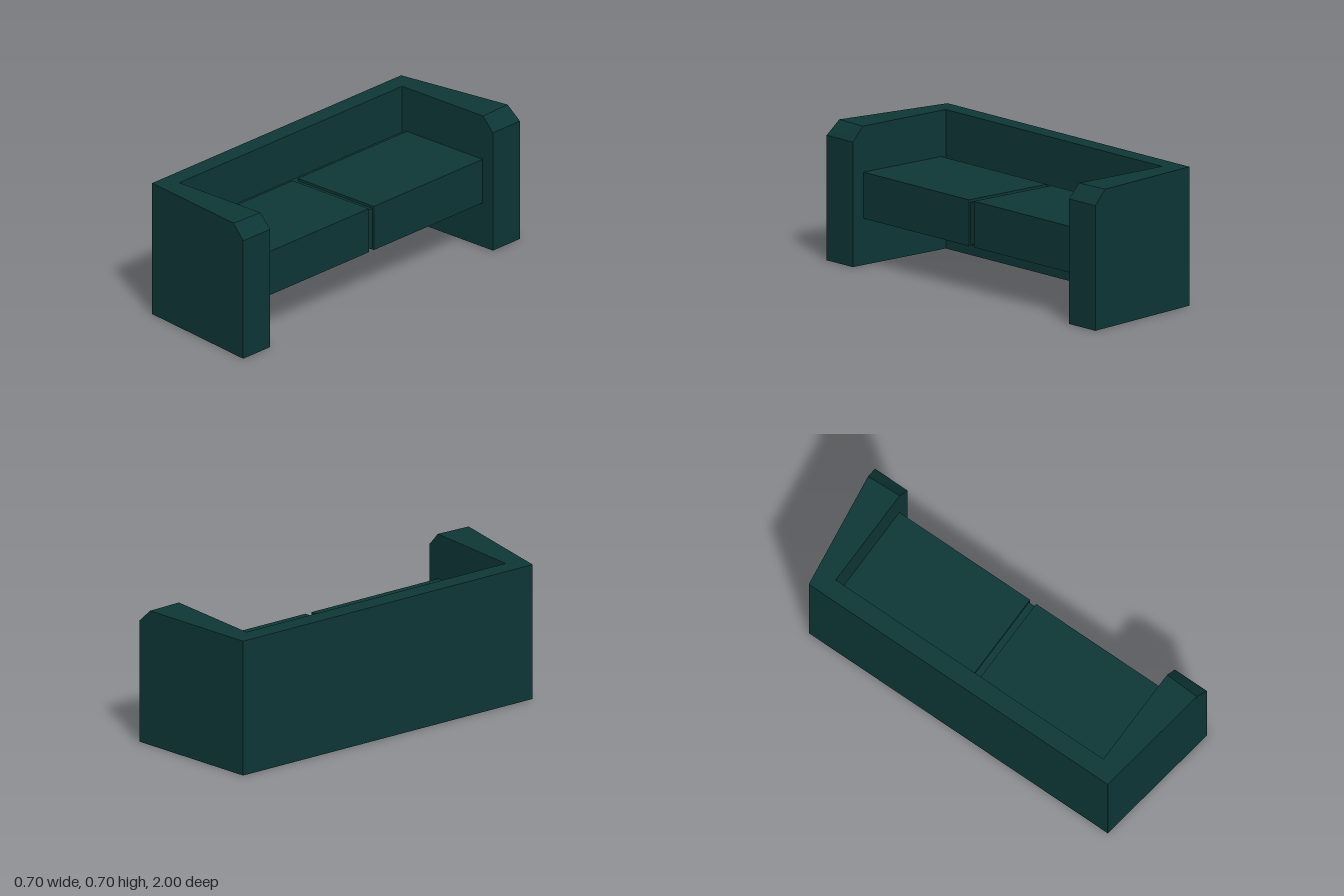
import * as THREE from 'three';

const INNER = 0.805; // half width between the arms

export function createModel() {
  const group = new THREE.Group();
  group.name = 'sofa';
  const fabric = new THREE.MeshStandardMaterial({ color: 0x0e3636 });
  fabric.name = 'dark teal fabric';

  const add = (name, geometry) => {
    const mesh = new THREE.Mesh(geometry, fabric);
    mesh.name = name;
    group.add(mesh);
    return mesh;
  };

  // Box given by its lower and upper corners
  const addBox = (name, [x0, y0, z0], [x1, y1, z1]) =>
    add(name, new THREE.BoxGeometry(x1 - x0, y1 - y0, z1 - z0))
      .position.set((x0 + x1) / 2, (y0 + y1) / 2, (z0 + z1) / 2);

  // Arm: side profile with a chamfered top corner, flaring outwards to the open side
  const profile = new THREE.Shape([
    [-0.35, 0], [0.35, 0], [0.35, 0.63], [0.28, 0.7], [-0.35, 0.7],
  ].map(([x, y]) => new THREE.Vector2(x, y)));

  const addArm = (name, side) => {
    const geometry = new THREE.ExtrudeGeometry(profile, { depth: 1, bevelEnabled: false });
    const p = geometry.attributes.position;
    for (let i = 0; i < p.count; i++) {
      const outer = (p.getZ(i) > 0.5) === (side > 0);
      const x = p.getX(i);
      p.setZ(i, side * (outer ? 0.95 + x / 7 : INNER));
      // the chamfer starts a little further back on the outside
      if (x > 0.2 && x < 0.3) p.setX(i, outer ? 0.277 : 0.285);
    }
    geometry.computeVertexNormals();
    add(name, geometry);
  };
  addArm('armFront', 1);
  addArm('armRear', -1);

  // Backrest between the arms
  addBox('backrest', [-0.35, 0, -INNER], [-0.255, 0.7, INNER]);

  // Seat core, seen in the gaps around the cushions
  addBox('seatCore', [-0.255, 0.245, -INNER], [0.272, 0.455, INNER]);

  // Two seat cushions
  addBox('cushionFront', [-0.225, 0.235, 0.018], [0.282, 0.468, INNER]);
  addBox('cushionRear', [-0.225, 0.235, -INNER], [0.282, 0.468, -0.018]);

  return group;
}
